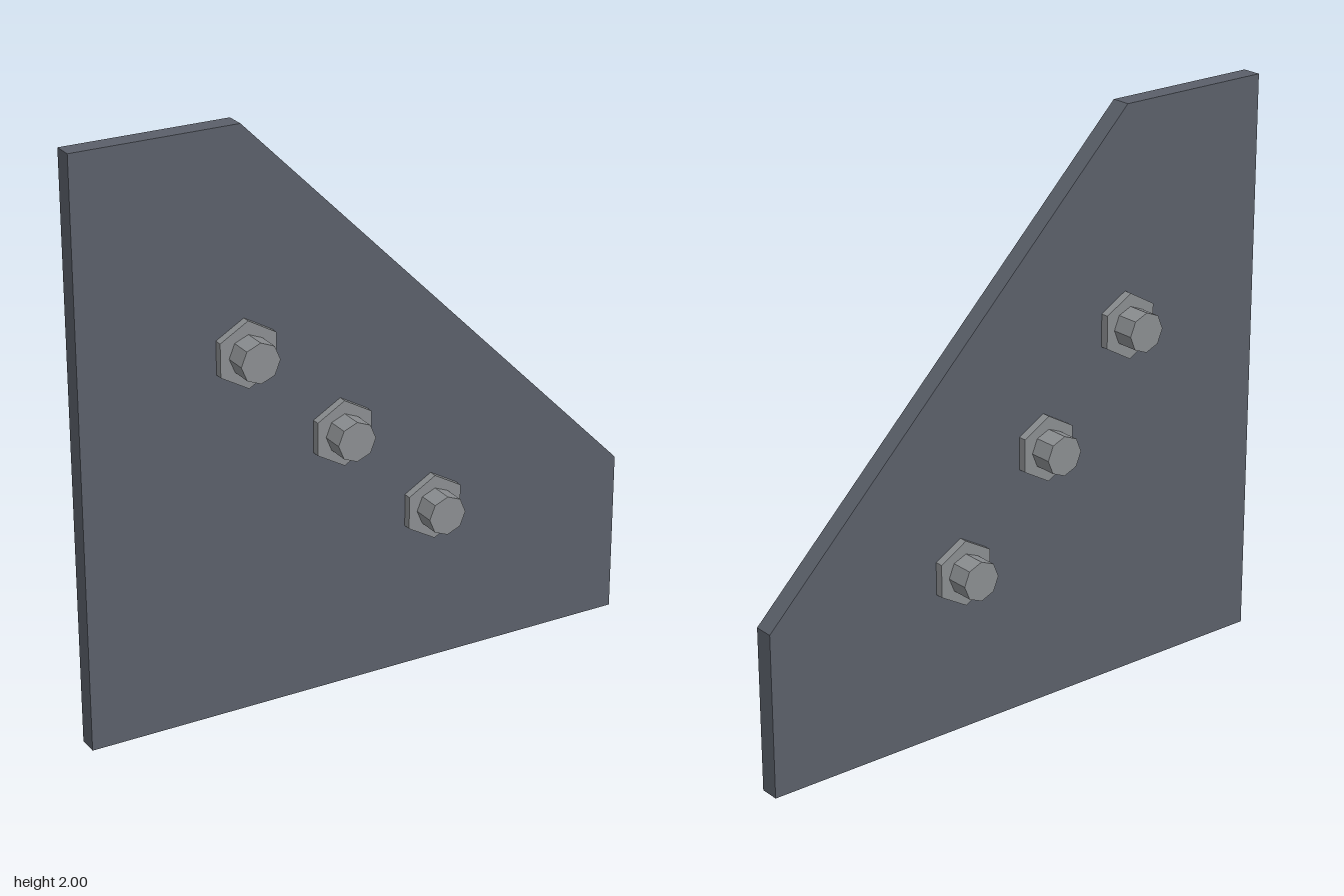
import * as THREE from 'three';

export function createModel() {
  const group = new THREE.Group();
  const plateSteel = new THREE.MeshStandardMaterial({ color: 0x5a5f69, flatShading: true });
  plateSteel.name = 'dark steel';
  const boltSteel = new THREE.MeshStandardMaterial({ color: 0x8a8d90, flatShading: true });
  boltSteel.name = 'light steel';

  const add = (parent, name, geometry, material) => {
    const mesh = new THREE.Mesh(geometry, material);
    mesh.name = name;
    parent.add(mesh);
    return mesh;
  };

  // Gusset plate with one corner cut off
  const thickness = 0.0686;
  const outline = new THREE.Shape([
    [-1, 0], [1, 0], [1, 0.571], [-0.429, 2], [-1, 2],
  ].map(([x, y]) => new THREE.Vector2(x, y)));
  const plate = new THREE.ExtrudeGeometry(outline, { depth: thickness, bevelEnabled: false });
  plate.translate(0, 0, -thickness / 2);
  add(group, 'gussetPlate', plate, plateSteel);

  // Through bolts: octagonal shank with a hexagonal nut on each face
  const shank = new THREE.CylinderGeometry(0.0686, 0.0686, 0.286, 8).rotateX(Math.PI / 2);
  const nut = new THREE.CylinderGeometry(0.114, 0.114, 0.0286, 6).rotateX(Math.PI / 2);
  for (let i = 0; i < 3; i++) {
    const bolt = new THREE.Group();
    bolt.name = `bolt${i + 1}`;
    bolt.position.set(-0.429 + i * 0.343, 1.257 - i * 0.343, 0);
    add(bolt, 'shank', shank, boltSteel);
    for (const side of [1, -1]) {
      add(bolt, side > 0 ? 'frontNut' : 'backNut', nut, boltSteel).position.z = side * 0.0486;
    }
    group.add(bolt);
  }
  return group;
}
